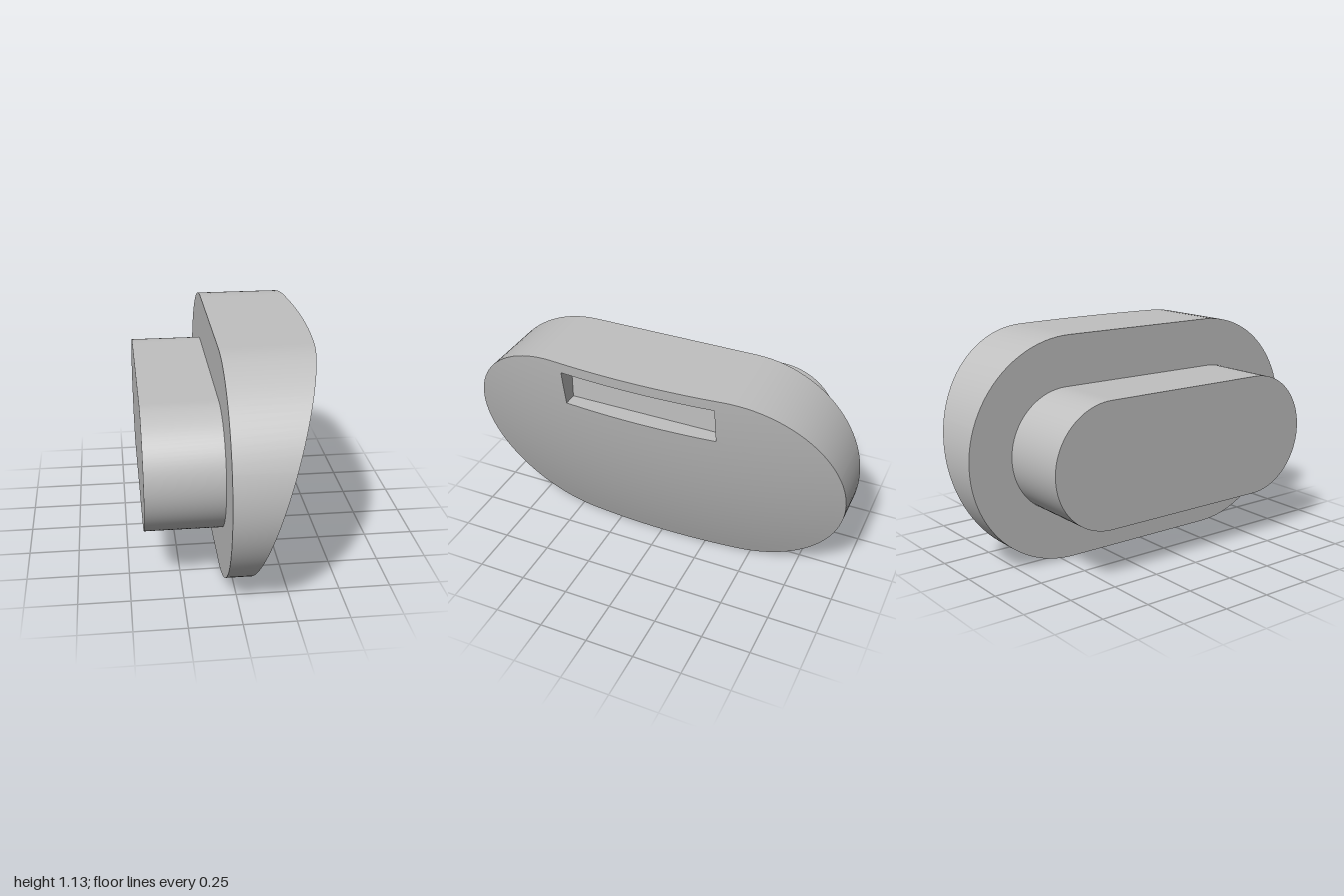
import * as THREE from 'three';
import { toCreasedNormals } from 'three/addons/utils/BufferGeometryUtils.js';

const CY = 0.566; // height of the knob axis
const SLOT = { y: 0.978, halfH: 0.097, halfW: 0.395, floorX: 0.295 };

// Domed, tilted face: x on a large sphere
const domeX = (y, z) => -3.739 + Math.sqrt(4.2 ** 2 - (y - 1.682) ** 2 - z * z);

// Stadium outline as [z, y] pairs, running from +z towards +y
function stadium(half, r, arcSteps = 48, flatSteps = 20) {
  const pts = [];
  for (const side of [1, -1]) {
    for (let i = 0; i <= arcSteps; i++) {
      const a = -Math.PI / 2 + (Math.PI * i) / arcSteps;
      pts.push([side * (half + r * Math.cos(a)), CY + side * r * Math.sin(a)]);
    }
    for (let i = 1; i < flatSteps; i++) {
      pts.push([side * half * (1 - (2 * i) / flatSteps), CY + side * r]);
    }
  }
  return pts;
}

// Skin a list of closed rings of [x, y, z]; rings may collapse to a point
function loft(rings) {
  const pos = [];
  const same = (p, q) => Math.hypot(p[0] - q[0], p[1] - q[1], p[2] - q[2]) < 1e-6;
  const tri = (a, b, c) => {
    if (!same(a, b) && !same(b, c) && !same(a, c)) pos.push(...a, ...b, ...c);
  };
  for (let i = 0; i < rings.length - 1; i++) {
    const a = rings[i], b = rings[i + 1], n = a.length;
    for (let j = 0; j < n; j++) {
      const k = (j + 1) % n;
      tri(a[j], b[j], b[k]);
      tri(a[j], b[k], a[k]);
    }
  }
  const geo = new THREE.BufferGeometry();
  geo.setAttribute('position', new THREE.Float32BufferAttribute(pos, 3));
  return toCreasedNormals(geo, Math.PI / 7);
}

// Head: stadium rim, domed face and recessed slot in one skin
function headGeometry() {
  const half = 0.434, r = 0.566;
  const inside = (z, y) => Math.hypot(Math.max(Math.abs(z) - half, 0), y - CY) < r;
  const angles = stadium(half, r).map(([z, y]) => Math.atan2(y - SLOT.y, z));
  // Add the slot corners so its edges stay sharp
  for (const sz of [1, -1]) for (const sy of [1, -1]) {
    angles.push(Math.atan2(sy * SLOT.halfH, sz * SLOT.halfW));
  }
  angles.sort((a, b) => a - b);

  const outer = [], lip = [];
  for (const a of angles) {
    const c = Math.cos(a), s = Math.sin(a);
    let lo = 0, hi = 3;
    for (let i = 0; i < 40; i++) {
      const m = (lo + hi) / 2;
      if (inside(m * c, SLOT.y + m * s)) lo = m; else hi = m;
    }
    outer.push([lo * c, SLOT.y + lo * s]);
    const d = Math.min(SLOT.halfW / Math.abs(c), SLOT.halfH / Math.abs(s));
    lip.push([d * c, SLOT.y + d * s]);
  }

  const flat = (pts, x) => pts.map(([z, y]) => [x, y, z]);
  const rings = [outer.map(() => [-0.05, SLOT.y, 0]), flat(outer, -0.05)];
  const steps = 16;
  for (let i = 0; i <= steps; i++) {
    rings.push(outer.map(([z, y], j) => {
      const t = i / steps;
      const pz = z + (lip[j][0] - z) * t, py = y + (lip[j][1] - y) * t;
      return [domeX(py, pz), py, pz];
    }));
  }
  rings.push(flat(lip, SLOT.floorX), lip.map(() => [SLOT.floorX, SLOT.y, 0]));
  return loft(rings);
}

// Stem: smaller stadium behind the head
function stemGeometry() {
  const pts = stadium(0.458, 0.313);
  const ring = (x) => pts.map(([z, y]) => [x, y, z]);
  return loft([pts.map(() => [-0.425, CY, 0]), ring(-0.425), ring(-0.05)]);
}

export function createModel() {
  const group = new THREE.Group();
  group.name = 'slottedKnob';
  const grey = new THREE.MeshStandardMaterial({ color: 0xc0c0c0 });
  grey.name = 'light grey';
  const add = (name, geometry) => {
    const mesh = new THREE.Mesh(geometry, grey);
    mesh.name = name;
    group.add(mesh);
  };
  add('head', headGeometry());
  add('stem', stemGeometry());
  return group;
}
